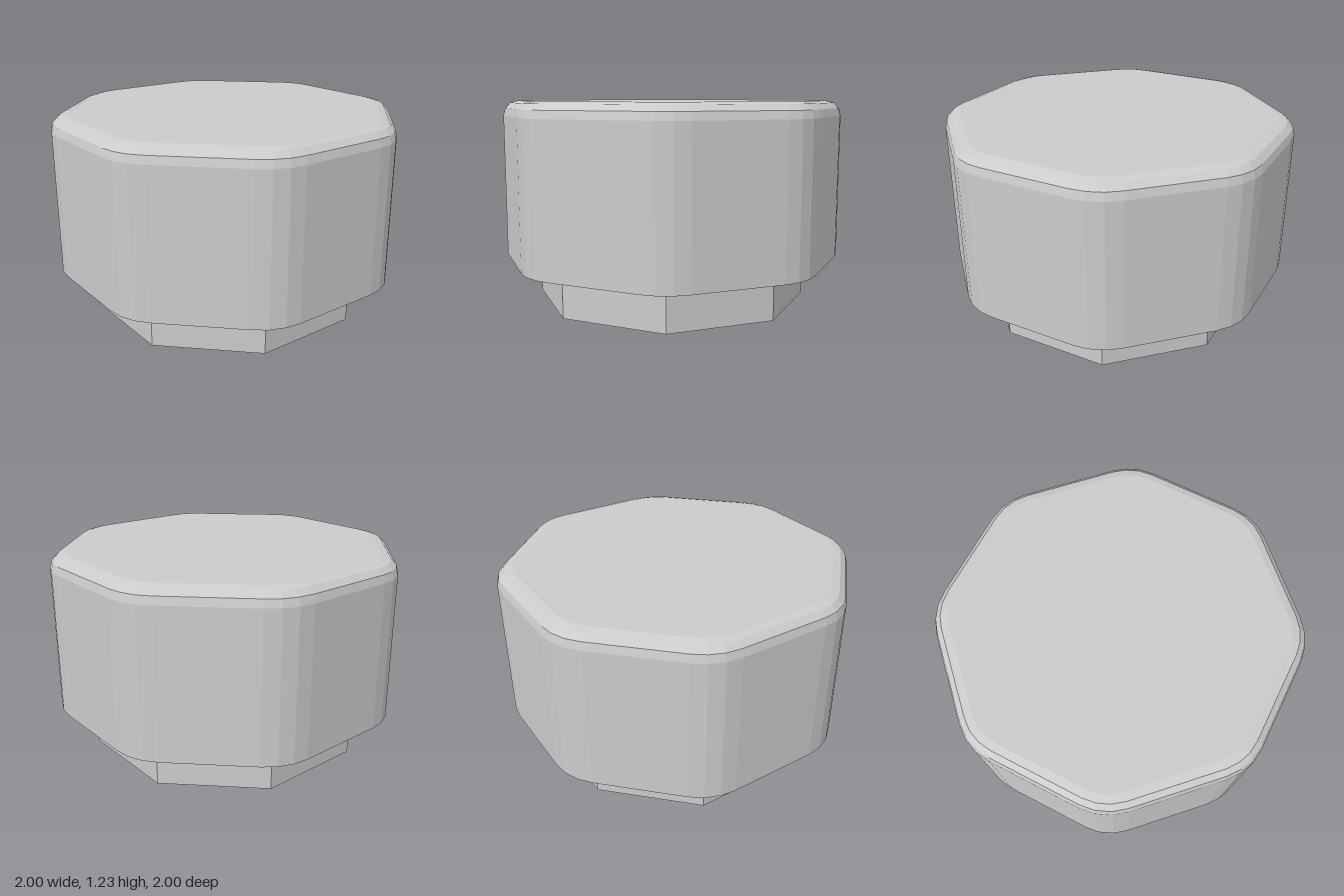
import * as THREE from 'three';

const SIDES = 8, STEP = Math.PI / 4;
const BASE_TOP = 0.27, TOP = 1.23;
const CORNER = 0.35, BEVEL = 0.09, SEGMENTS = 3;

// Octagon with rounded corners, moved inward by inset, at height y
function ring(inset, y) {
  const points = [];
  const reach = (1 - CORNER) / Math.cos(STEP / 2);
  for (let k = 0; k < SIDES; k++) {
    const mid = (k + 0.5) * STEP;
    for (let i = 0; i <= SEGMENTS; i++) {
      const a = (k + i / SEGMENTS) * STEP;
      points.push([
        Math.sin(mid) * reach + Math.sin(a) * (CORNER - inset),
        y,
        Math.cos(mid) * reach + Math.cos(a) * (CORNER - inset),
      ]);
    }
  }
  return points;
}

// Solid stack of rings with flat caps at both ends
function loft(rings) {
  const pos = [];
  const tri = (...corners) => corners.forEach((p) => pos.push(...p));
  const n = rings[0].length, last = rings[rings.length - 1];
  for (let i = 0; i < n; i++) {
    const j = (i + 1) % n;
    for (let r = 0; r < rings.length - 1; r++) {
      const lo = rings[r], hi = rings[r + 1];
      tri(lo[i], lo[j], hi[j]);
      tri(lo[i], hi[j], hi[i]);
    }
    tri([0, rings[0][0][1], 0], rings[0][j], rings[0][i]);
    tri([0, last[0][1], 0], last[i], last[j]);
  }
  const geometry = new THREE.BufferGeometry();
  geometry.setAttribute('position', new THREE.Float32BufferAttribute(pos, 3));
  geometry.computeVertexNormals();
  return geometry;
}

export function createModel() {
  const group = new THREE.Group();
  const material = new THREE.MeshStandardMaterial({ color: 0xcccccc, flatShading: true });

  // Wide upper body: straight walls and a rounded top rim
  const rings = [ring(0, BASE_TOP)];
  for (let i = 0; i <= SEGMENTS; i++) {
    const a = (i / SEGMENTS) * Math.PI / 2;
    rings.push(ring(BEVEL * (1 - Math.cos(a)), TOP - BEVEL * (1 - Math.sin(a))));
  }
  const body = new THREE.Mesh(loft(rings), material);
  body.name = 'body';
  group.add(body);

  // Narrower sharp-cornered octagonal foot
  const radius = 0.78 / Math.cos(STEP / 2);
  const footGeometry = new THREE.CylinderGeometry(radius, radius, BASE_TOP, SIDES);
  footGeometry.rotateY(STEP / 2);
  const foot = new THREE.Mesh(footGeometry, material);
  foot.name = 'foot';
  foot.position.y = BASE_TOP / 2;
  group.add(foot);

  return group;
}
